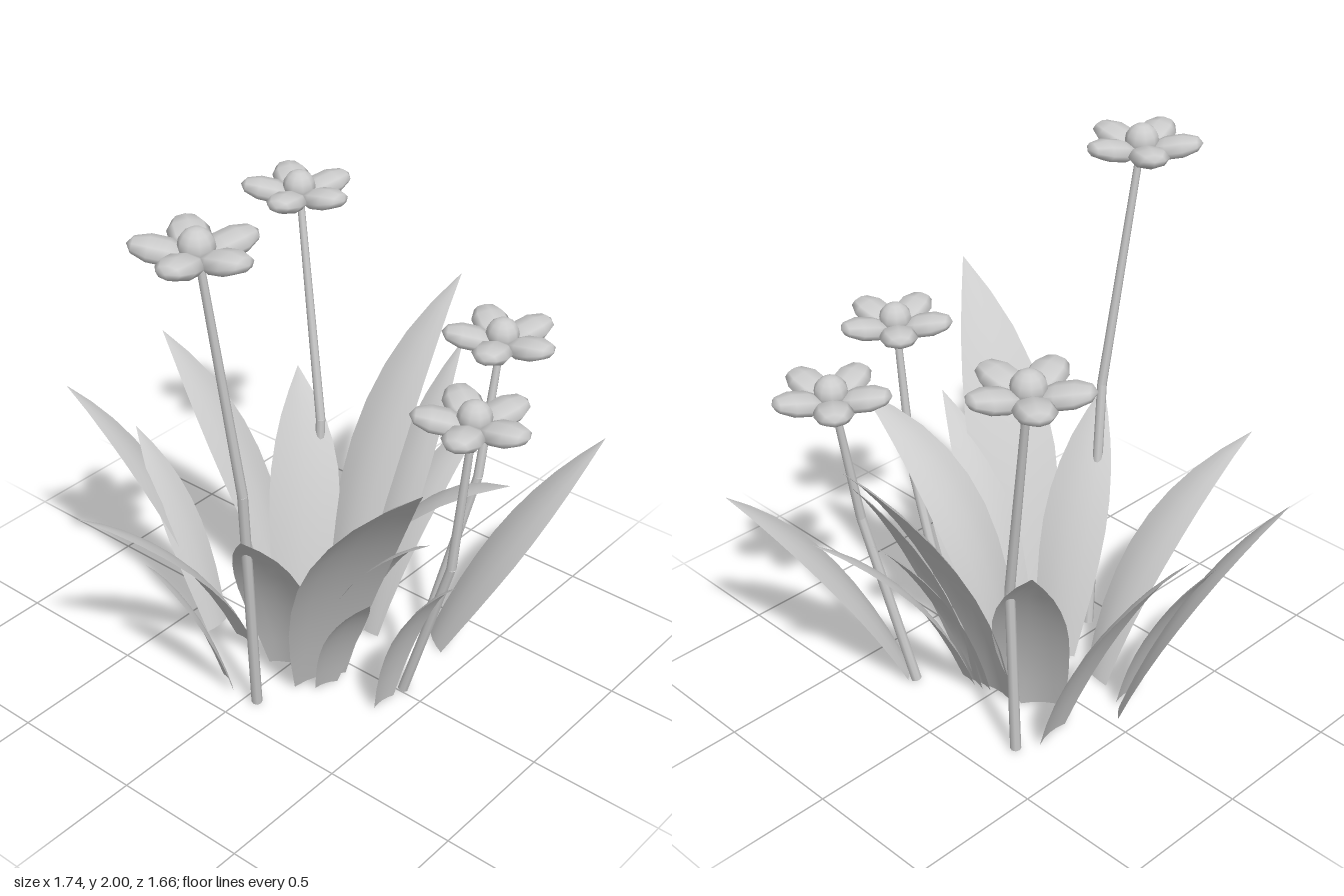
import * as THREE from 'three';

const V = (a) => new THREE.Vector3(...a);

// Arched blade from ground point to tip, bowed sideways: rows along a curve, five points across
function leafGeometry([baseX, baseZ], tip, width, bend, bow = 0) {
  const a = V([baseX, 0.01, baseZ]), b = V(tip), d = b.clone().sub(a);
  const side = V([-d.z, 0, d.x]).normalize();
  const control = V([a.x + d.x * (0.5 - bend), a.y + d.y * (0.5 + bend), a.z + d.z * (0.5 - bend)])
    .addScaledVector(side, bow * 2);
  const curve = new THREE.QuadraticBezierCurve3(a, control, b);
  const widths = [0.6, 0.76, 0.89, 0.97, 1, 0.95, 0.82, 0.62, 0.34, 0.01];
  const pos = [], idx = [];
  widths.forEach((w, i) => {
    const t = i / (widths.length - 1);
    const p = curve.getPoint(t);
    const up = side.clone().cross(curve.getTangent(t)).normalize();
    if (up.y < 0) up.negate();
    for (let j = -2; j <= 2; j++) {
      const s = j / 2;
      const q = p.clone().addScaledVector(side, s * w * width / 2)
        .addScaledVector(up, (0.5 - s * s) * w * width * 0.08);
      pos.push(q.x, Math.max(q.y, 0), q.z);
    }
    if (i === 0) return;
    for (let j = 0; j < 4; j++) {
      const k = (i - 1) * 5 + j;
      idx.push(k, k + 5, k + 1, k + 1, k + 5, k + 6);
    }
  });
  const g = new THREE.BufferGeometry();
  g.setAttribute('position', new THREE.Float32BufferAttribute(pos, 3));
  g.setIndex(idx);
  g.computeVertexNormals();
  return g;
}

// Straight piece of stem between two points
function stemPiece(from, to, r0, r1, material) {
  const a = V(from), d = V(to).sub(a);
  const mesh = new THREE.Mesh(new THREE.CylinderGeometry(r1, r0, d.length(), 8), material);
  mesh.position.copy(a).addScaledVector(d, 0.5);
  mesh.quaternion.setFromUnitVectors(V([0, 1, 0]), d.normalize());
  mesh.name = 'stem';
  return mesh;
}

// Round centre with five plump pointed petals
function flowerHead(material) {
  const head = new THREE.Group();
  head.name = 'flowerHead';
  const centre = new THREE.Mesh(new THREE.SphereGeometry(0.06, 10, 8), material);
  centre.name = 'flowerCentre';
  head.add(centre);
  const petal = new THREE.SphereGeometry(1, 8, 5);
  petal.rotateZ(-Math.PI / 2);
  petal.scale(0.1, 0.038, 0.071);
  petal.rotateZ(0.2);
  petal.translate(0.115, -0.018, 0);
  for (let i = 0; i < 5; i++) {
    const mesh = new THREE.Mesh(petal, material);
    mesh.rotation.y = i * Math.PI * 2 / 5;
    mesh.name = 'petal';
    head.add(mesh);
  }
  return head;
}

export function createModel() {
  const model = new THREE.Group();
  model.name = 'floweringPlant';
  const grey = new THREE.MeshStandardMaterial({ color: 0xcccccc, side: THREE.DoubleSide });
  grey.name = 'plantGrey';

  const addLeaf = (...shape) => {
    const leaf = new THREE.Mesh(leafGeometry(...shape), grey);
    leaf.name = 'leaf';
    model.add(leaf);
  };
  // Leaves: ground point (x, z), tip, width, upward bend, sideways bow
  // Back leaves
  addLeaf([-0.03, -0.17], [0.01, 1.26, -0.83], 0.24, 0.15, -0.05);
  addLeaf([0.1, -0.2], [0.24, 0.84, -0.78], 0.17, 0.18, -0.02);
  addLeaf([0.09, -0.19], [0.13, 1.08, -0.69], 0.17, 0.14);
  addLeaf([0.05, -0.18], [0.06, 0.88, -0.68], 0.13, 0.15);
  addLeaf([-0.18, -0.1], [-0.45, 0.87, -0.43], 0.27, 0.13, 0.03);
  addLeaf([0.33, -0.31], [0.7, 0.83, -0.8], 0.24, 0.12, 0.03);
  // Right-hand leaves
  addLeaf([-0.32, -0.2], [-0.87, 1.0, -0.13], 0.25, 0.13, 0.02);
  addLeaf([-0.4, 0.08], [-0.87, 0.98, 0.37], 0.2, 0.13, 0.03);
  addLeaf([-0.36, 0.15], [-0.74, 0.76, 0.16], 0.18, 0.13);
  // Front leaves
  addLeaf([-0.21, 0.15], [-0.35, 0.86, 0.82], 0.21, 0.17, -0.04);
  addLeaf([-0.1, 0.37], [-0.23, 0.62, 0.63], 0.17, 0.14);
  addLeaf([0, 0.15], [0.21, 0.91, 0.62], 0.25, 0.16);
  // Left-hand leaves
  addLeaf([0.14, 0.14], [0.83, 1.29, 0.48], 0.34, 0.16, 0.04);
  addLeaf([0.08, -0.03], [0.74, 0.98, -0.13], 0.27, 0.32);
  addLeaf([0.12, 0.08], [0.66, 0.88, 0.2], 0.2, 0.21);
  addLeaf([0.4, 0.09], [0.72, 0.69, 0.12], 0.17, 0.23);
  addLeaf([0.18, 0.15], [0.48, 0.59, 0.28], 0.15, 0.15);

  // Flowers: stem foot, stem bend, head centre
  const flowers = [
    [[0.05, 0.01, 0.385], [0.12, 1.0, 0.51], [0.07, 1.94, 0.63]],
    [[-0.285, 0.01, -0.345], [-0.29, 0.72, -0.375], [-0.465, 1.605, -0.46]],
    [[0.26, 0.01, -0.33], [0.4, 0.72, -0.44], [0.405, 1.27, -0.535]],
    [[0.41, 0.01, -0.015], [0.6, 0.64, -0.015], [0.66, 1.27, -0.02]],
  ];
  for (const [foot, knee, top] of flowers) {
    const flower = new THREE.Group();
    flower.name = 'flower';
    const head = flowerHead(grey);
    head.position.set(...top);
    flower.add(stemPiece(foot, knee, 0.02, 0.018, grey), stemPiece(knee, top, 0.018, 0.013, grey), head);
    model.add(flower);
  }
  return model;
}
